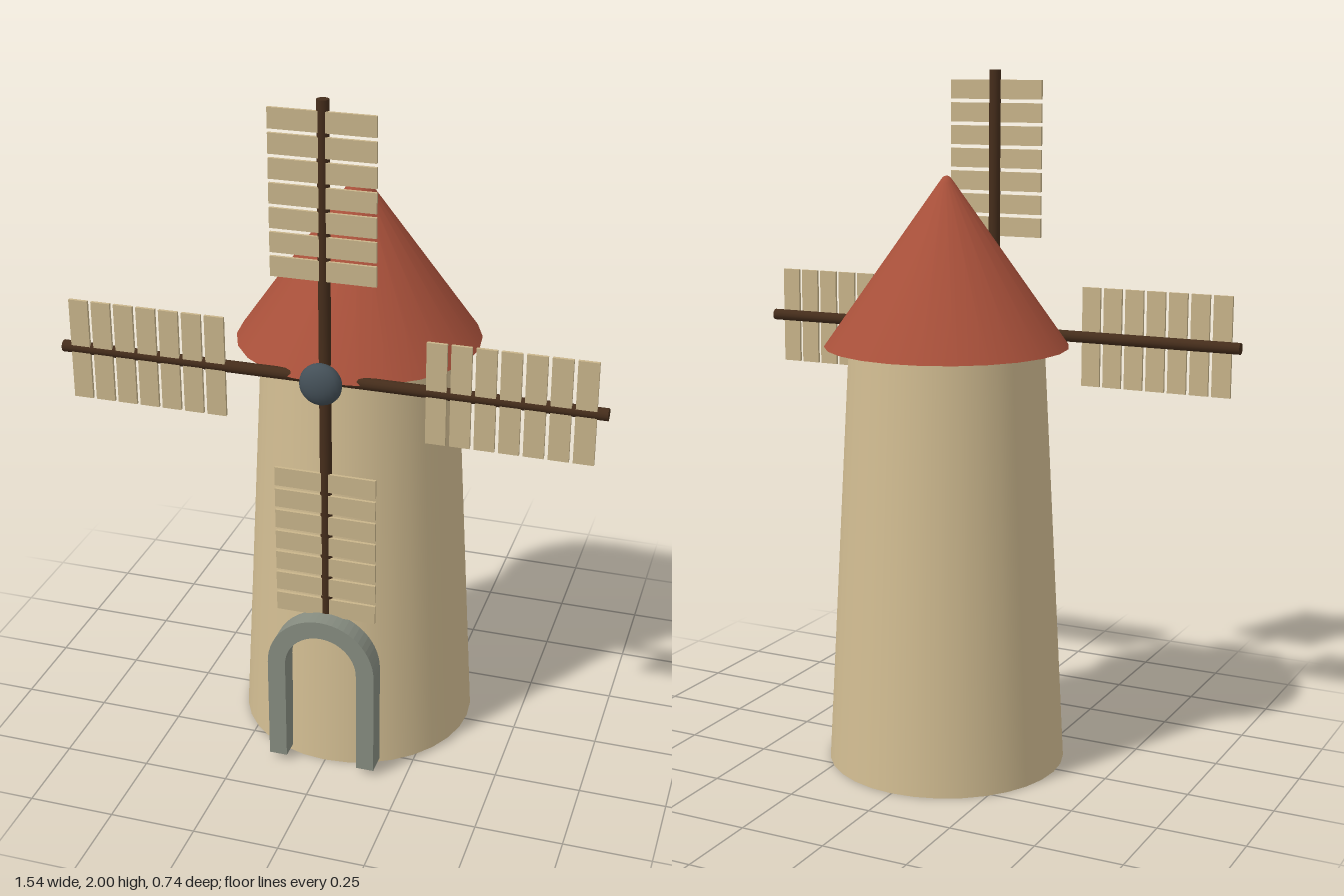
import * as THREE from 'three';

const mat = (name, color, side = THREE.FrontSide) => {
  const m = new THREE.MeshStandardMaterial({ color, side });
  m.name = name;
  return m;
};

export function createModel() {
  const group = new THREE.Group();
  group.name = 'windmill';
  const plaster = mat('plaster', 0xd2bd92, THREE.DoubleSide);
  const tile = mat('roofTile', 0xa8503a, THREE.DoubleSide);
  const darkWood = mat('darkWood', 0x452d1b);
  const slatWood = mat('slatWood', 0xc8b48a);
  const iron = mat('iron', 0x445058);
  const stone = mat('stone', 0x868c80);

  const add = (parent, name, geometry, material, x = 0, y = 0, z = 0) => {
    const mesh = new THREE.Mesh(geometry, material);
    mesh.name = name;
    mesh.position.set(x, y, z);
    parent.add(mesh);
    return mesh;
  };

  const axisZ = -0.021;  // centre of the round tower
  const hubY = 1.23;

  // Hollow tapering tower
  add(group, 'tower', new THREE.CylinderGeometry(0.28, 0.347, hubY, 32, 1, true), plaster, 0, hubY / 2, axisZ);

  // Open conical roof with a slightly blunt tip
  const roofProfile = [[0.35, 0], [0.022, 0.462], [0.01, 0.478], [0, 0.482]];
  const roof = new THREE.LatheGeometry(roofProfile.map(([r, y]) => new THREE.Vector2(r, y)), 24);
  add(group, 'roof', roof, tile, 0, hubY, axisZ);

  // Stone door arch
  const arch = new THREE.Shape();
  const springY = 0.338, outer = 0.16, inner = 0.107;
  arch.moveTo(outer, 0.02);
  arch.lineTo(outer, springY);
  arch.absarc(0, springY, outer, 0, Math.PI, false);
  arch.lineTo(-outer, 0.02);
  arch.lineTo(-inner, 0.02);
  arch.lineTo(-inner, springY);
  arch.absarc(0, springY, inner, Math.PI, 0, true);
  arch.lineTo(inner, 0.02);
  arch.closePath();
  const archGeo = new THREE.ExtrudeGeometry(arch, { depth: 0.064, bevelEnabled: false, curveSegments: 14 });
  add(group, 'doorArch', archGeo, stone, 0, 0, 0.299);

  // Four sails turned about the hub
  const sails = new THREE.Group();
  sails.name = 'sails';
  sails.position.set(0, hubY, 0.295);
  group.add(sails);
  const armGeo = new THREE.CylinderGeometry(0.017, 0.017, 0.77, 12);
  const slatGeo = new THREE.BoxGeometry(0.293, 0.056, 0.009);
  for (let i = 0; i < 4; i++) {
    const sail = new THREE.Group();
    sail.name = 'sail';
    sail.rotation.z = i * Math.PI / 2;
    sails.add(sail);
    add(sail, 'arm', armGeo, darkWood, 0, 0.385, 0);
    for (let j = 0; j < 7; j++) add(sail, 'slat', slatGeo, slatWood, 0, 0.312 + j * 0.0668, 0.009);
  }

  // Flattened hub
  const hub = add(group, 'hub', new THREE.SphereGeometry(0.06, 20, 14), iron, 0, hubY, 0.334);
  hub.scale.z = 0.6;

  return group;
}
